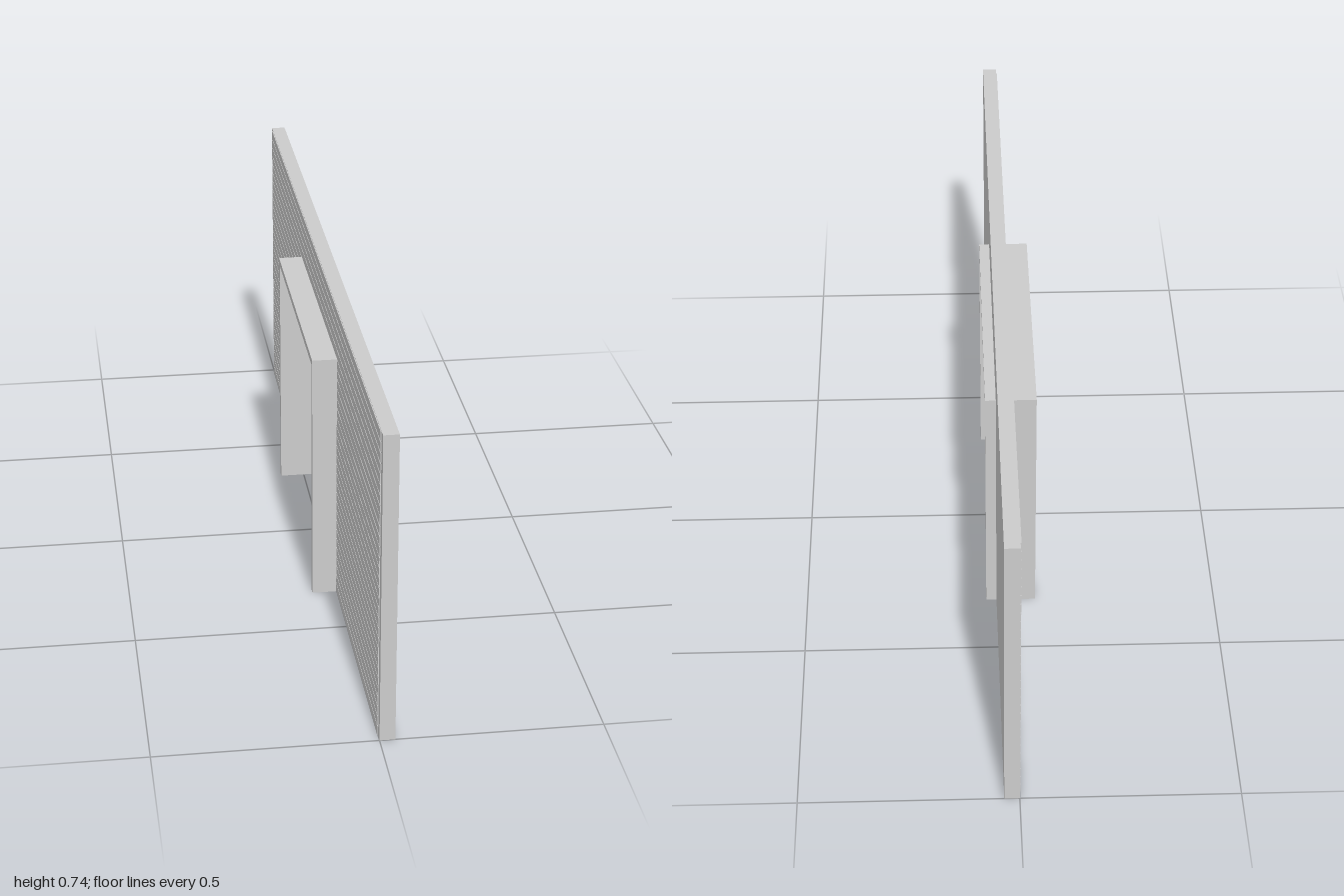
import * as THREE from 'three';

const HEIGHT = 0.737, HALF = 1;
const WALL = 0.035;                         // wall thickness, from x = 0
const OUT_Z = 0.328, OUT_Y = 0.614;         // outside of the door frame
const IN_Z = 0.313, IN_Y = 0.598;           // clear opening
const FRAME = 0.06;                         // half depth of the frame

const material = new THREE.MeshStandardMaterial({ color: 0xcccccc, flatShading: true });

// An upside-down U, extruded along x from x0 to x1
function portal(name, halfWidth, height, innerHalf, innerHeight, x0, x1) {
  const shape = new THREE.Shape([
    [-halfWidth, 0], [-innerHalf, 0], [-innerHalf, innerHeight], [innerHalf, innerHeight],
    [innerHalf, 0], [halfWidth, 0], [halfWidth, height], [-halfWidth, height],
  ].map(([z, y]) => new THREE.Vector2(z, y)));
  const geometry = new THREE.ExtrudeGeometry(shape, { depth: x1 - x0, bevelEnabled: false });
  geometry.rotateY(Math.PI / 2).translate(x0, 0, 0);
  const mesh = new THREE.Mesh(geometry, material);
  mesh.name = name;
  return mesh;
}

export function createModel() {
  const model = new THREE.Group();
  model.name = 'wallWithDoorway';
  model.add(portal('wall', HALF, HEIGHT, OUT_Z, OUT_Y, 0, WALL));
  model.add(portal('doorFrame', OUT_Z, OUT_Y, IN_Z, IN_Y, -FRAME, FRAME));

  // Very thin horizontal cladding boards on the -x face
  const cladding = new THREE.Group();
  cladding.name = 'cladding';
  const rows = 30, pitch = HEIGHT / rows, thick = 0.002, end = 0.98;
  const addBoard = (y, z0, z1) => {
    const board = new THREE.Mesh(new THREE.BoxGeometry(thick, pitch * 0.88, z1 - z0), material);
    board.position.set(-thick / 2, y, (z0 + z1) / 2);
    board.name = 'board';
    cladding.add(board);
  };
  for (let i = 0; i < rows; i++) {
    const y = (i + 0.5) * pitch;
    if (y - pitch / 2 > OUT_Y - 0.001) addBoard(y, -end, end);
    else {
      addBoard(y, -end, -OUT_Z);
      addBoard(y, OUT_Z, end);
    }
  }
  model.add(cladding);
  return model;
}
